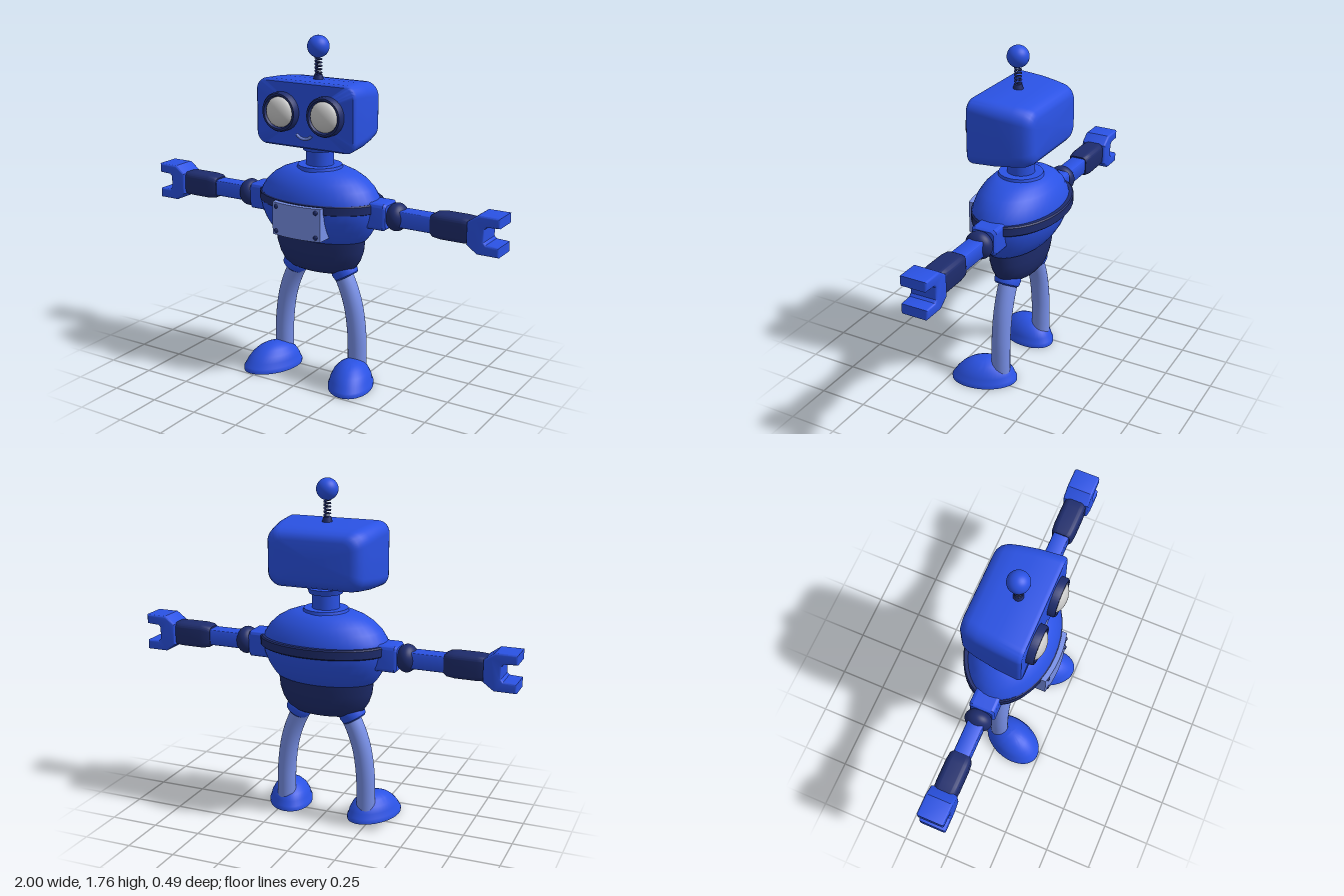
import * as THREE from 'three';
import { mergeVertices, toCreasedNormals } from 'three/addons/utils/BufferGeometryUtils.js';

const mat = (color, extra = {}) => new THREE.MeshStandardMaterial({ color, ...extra });

// Loft along y through rounded-rectangle sections.
// Row: [y, halfX, halfZ, zOffset, cornerRadius]; no radius gives a full ellipse.
function loft(rows, crease = 0.7) {
  const seg = 10, n = 4 * (seg + 1), pos = [], idx = [];
  for (const [y, rx, rz, zc = 0, r] of rows) {
    const cx = r ?? rx, cz = r ?? rz;
    for (let q = 0; q < 4; q++) {
      const sx = q === 0 || q === 3 ? 1 : -1, sz = q < 2 ? 1 : -1;
      for (let i = 0; i <= seg; i++) {
        const a = (q + i / seg) * Math.PI / 2;
        pos.push(sx * (rx - cx) + cx * Math.cos(a), y, zc + sz * (rz - cz) + cz * Math.sin(a));
      }
    }
  }
  for (let j = 0; j < rows.length - 1; j++) {
    for (let i = 0; i < n; i++) {
      const a = j * n + i, b = j * n + (i + 1) % n;
      idx.push(a, a + n, b, b, a + n, b + n);
    }
  }
  // end caps
  const last = rows.length - 1, base = pos.length / 3;
  pos.push(0, rows[0][0], rows[0][3] ?? 0, 0, rows[last][0], rows[last][3] ?? 0);
  for (let i = 0; i < n; i++) {
    const k = (i + 1) % n;
    idx.push(base, i, k, base + 1, last * n + k, last * n + i);
  }
  const g = new THREE.BufferGeometry();
  g.setAttribute('position', new THREE.Float32BufferAttribute(pos, 3));
  g.setIndex(idx);
  return toCreasedNormals(mergeVertices(g), crease);
}

function add(parent, name, geo, material, x = 0, y = 0, z = 0) {
  const m = new THREE.Mesh(geo, material);
  m.name = name;
  m.position.set(x, y, z);
  parent.add(m);
  return m;
}

export function createModel() {
  const root = new THREE.Group();
  root.name = 'robot';
  const blue = mat(0x2a52e4), dark = mat(0x1e2c6c), light = mat(0x7890e8), grey = mat(0xcccccc);
  const group = (name, x, y, z) => {
    const g = new THREE.Group();
    g.name = name;
    g.position.set(x, y, z);
    root.add(g);
    return g;
  };
  const disc = (r, h, r2 = r) => new THREE.CylinderGeometry(r2, r, h, 40);

  // Head: slight taper and softer corners toward the back
  const head = group('head', 0, 1.387, 0);
  add(head, 'headShell', loft([
    [-0.193, 0.195, 0.095, 0, 0.04], [-0.188, 0.218, 0.115, 0, 0.055], [-0.173, 0.238, 0.132, 0, 0.065],
    [-0.145, 0.253, 0.146, 0, 0.07], [-0.09, 0.264, 0.154, 0, 0.07], [0.0, 0.276, 0.162, 0, 0.065],
    [0.118, 0.284, 0.166, 0, 0.06], [0.132, 0.281, 0.163, 0, 0.058], [0.138, 0.274, 0.156, 0, 0.052],
  ]).rotateX(Math.PI / 2), blue);

  // Eyes: dark bezel with a bulging lens
  const bezel = [[0.0, -0.02], [0.098, -0.02], [0.098, 0.028], [0.092, 0.038], [0.082, 0.038], [0.076, 0.025], [0, 0.02]]
    .map(p => new THREE.Vector2(...p));
  for (const s of [-1, 1]) {
    add(head, 'eyeRing', toCreasedNormals(new THREE.LatheGeometry(bezel, 40).rotateX(Math.PI / 2), 0.6),
      dark, s * 0.128, 0.01, 0.138);
    add(head, 'eyeLens', new THREE.SphereGeometry(0.076, 32, 20).scale(1, 1, 0.55), grey, s * 0.128, 0.01, 0.158);
  }
  const smile = new THREE.TorusGeometry(0.058, 0.007, 10, 24, 1.7).rotateZ(-Math.PI / 2 - 0.85);
  add(head, 'mouth', smile, light, 0, -0.057, 0.138);

  // Antenna
  const antenna = group('antenna', 0, 0, 0.008);
  add(antenna, 'antennaBase', disc(0.026, 0.025, 0.02), dark, 0, 1.56, 0);
  const coil = [];
  for (let i = 0; i <= 72; i++) {
    const t = i / 72, a = t * Math.PI * 12;
    coil.push(new THREE.Vector3(0.015 * Math.cos(a), 1.565 + 0.1 * t, 0.015 * Math.sin(a)));
  }
  add(antenna, 'antennaSpring', new THREE.TubeGeometry(new THREE.CatmullRomCurve3(coil), 180, 0.005, 6), dark);
  add(antenna, 'antennaBall', new THREE.SphereGeometry(0.055, 32, 20), blue, 0, 1.709, 0);

  // Neck
  const neck = group('neck', 0, 0, -0.008);
  add(neck, 'neckTopPlate', disc(0.085, 0.028, 0.095), blue, 0, 1.208, 0);
  add(neck, 'neckColumn', disc(0.07, 0.12), blue, 0, 1.15, 0);
  add(neck, 'neckCollar', disc(0.118, 0.022, 0.112), blue, 0, 1.108, 0);

  // Body
  const body = group('body', 0, 0, -0.01);
  add(body, 'torso', loft([
    [0.738, 0.23, 0.12], [0.752, 0.262, 0.138], [0.78, 0.284, 0.16], [0.82, 0.307, 0.184], [0.87, 0.327, 0.205],
    [0.92, 0.338, 0.216], [0.95, 0.336, 0.216], [0.98, 0.322, 0.209], [1.02, 0.296, 0.195], [1.056, 0.257, 0.172],
    [1.085, 0.208, 0.143], [1.105, 0.155, 0.11],
  ]), blue);
  add(body, 'belt', loft([
    [0.912, 0.337, 0.222, -0.01], [0.918, 0.344, 0.228, -0.01], [0.958, 0.344, 0.228, -0.01], [0.964, 0.337, 0.222, -0.01],
  ]), dark);
  add(body, 'pelvis', loft([
    [0.568, 0.155, 0.075], [0.578, 0.18, 0.09], [0.6, 0.207, 0.105], [0.64, 0.233, 0.117], [0.69, 0.25, 0.124], [0.755, 0.257, 0.126],
  ], 0.9), dark);

  // Chest plate, bowed to follow the torso, with four rivets
  const bow = x => -0.9 * x * x;
  const plate = new THREE.BoxGeometry(0.28, 0.168, 0.085, 16, 1, 1);
  const p = plate.attributes.position;
  for (let i = 0; i < p.count; i++) p.setZ(i, p.getZ(i) + bow(p.getX(i)));
  plate.computeVertexNormals();
  add(root, 'chestPlate', plate, light, 0, 0.87, 0.19);
  for (const x of [-0.115, 0.115]) for (const y of [0.807, 0.933]) {
    add(root, 'rivet', new THREE.SphereGeometry(0.012, 14, 10).scale(1, 1, 0.6), dark, x, y, 0.2325 + bow(x));
  }

  // Claw outline with an open jaw
  const claw = new THREE.Shape([
    [0.845, -0.05], [0.872, -0.07], [0.893, -0.085], [0.99, -0.085], [0.99, -0.055], [0.93, -0.052], [0.913, -0.035],
    [0.913, 0.035], [0.93, 0.052], [0.99, 0.055], [0.99, 0.085], [0.893, 0.085], [0.872, 0.07], [0.845, 0.05],
  ].map(q => new THREE.Vector2(...q)));
  const clawGeo = new THREE.ExtrudeGeometry(claw, {
    depth: 0.12, bevelThickness: 0.01, bevelSize: 0.01, bevelSegments: 3,
  }).translate(0, 0, -0.06);
  const alongX = rows => loft(rows).rotateZ(-Math.PI / 2);

  for (const s of [-1, 1]) {
    // Arm, built toward +x and turned round for the other side
    const arm = group(s > 0 ? 'leftArm' : 'rightArm', 0, 0.906, -0.02);
    arm.rotation.y = s > 0 ? 0 : Math.PI;
    add(arm, 'shoulder', alongX([
      [0.27, 0.068, 0.068, 0, 0.02], [0.39, 0.068, 0.068, 0, 0.02], [0.402, 0.058, 0.058, 0, 0.02],
    ]), blue);
    add(arm, 'armJoint', new THREE.SphereGeometry(0.071, 32, 20).scale(0.75, 1, 1), dark, 0.438, 0, 0);
    add(arm, 'upperArm', alongX([[0.46, 0.043, 0.043, 0, 0.012], [0.66, 0.043, 0.043, 0, 0.012]]), blue);
    add(arm, 'forearm', alongX([
      [0.636, 0.05, 0.048, 0, 0.025], [0.65, 0.058, 0.056, 0, 0.028], [0.69, 0.063, 0.06, 0, 0.03],
      [0.8, 0.063, 0.06, 0, 0.03], [0.845, 0.06, 0.057, 0, 0.028], [0.856, 0.054, 0.05, 0, 0.025],
    ]), dark);
    add(arm, 'claw', toCreasedNormals(clawGeo, 0.6), blue);

    // Leg: bowed tube with a tilted hip cuff
    const leg = group(s > 0 ? 'leftLeg' : 'rightLeg', 0, 0, -0.011);
    const path = new THREE.CatmullRomCurve3([
      [0.115, 0.59], [0.148, 0.535], [0.18, 0.46], [0.204, 0.375], [0.221, 0.25], [0.225, 0.13], [0.225, 0.05],
    ].map(([x, y]) => new THREE.Vector3(s * x, y, 0)));
    add(leg, 'legTube', new THREE.TubeGeometry(path, 48, 0.049, 24), light);
    const cuff = [[0, -0.035], [0.056, -0.035], [0.064, -0.028], [0.069, 0], [0.064, 0.025], [0.05, 0.045], [0, 0.055]]
      .map(q => new THREE.Vector2(...q));
    add(leg, 'hipCuff', toCreasedNormals(new THREE.LatheGeometry(cuff, 32), 0.6), blue, s * 0.145, 0.577, 0)
      .rotation.z = s * 0.52;

    // Foot: domed shoe turned outward
    const foot = add(root, s > 0 ? 'leftFoot' : 'rightFoot', loft([
      [0, 0.115, 0.172], [0.016, 0.115, 0.172], [0.024, 0.11, 0.166], [0.05, 0.104, 0.152, -0.004],
      [0.08, 0.089, 0.128, -0.008], [0.105, 0.066, 0.095, -0.01], [0.12, 0.042, 0.062, -0.01], [0.13, 0.008, 0.012, -0.01],
    ], 0.8), blue, s * 0.24, 0, 0.079);
    foot.rotation.y = s * 0.36;
  }
  return root;
}
